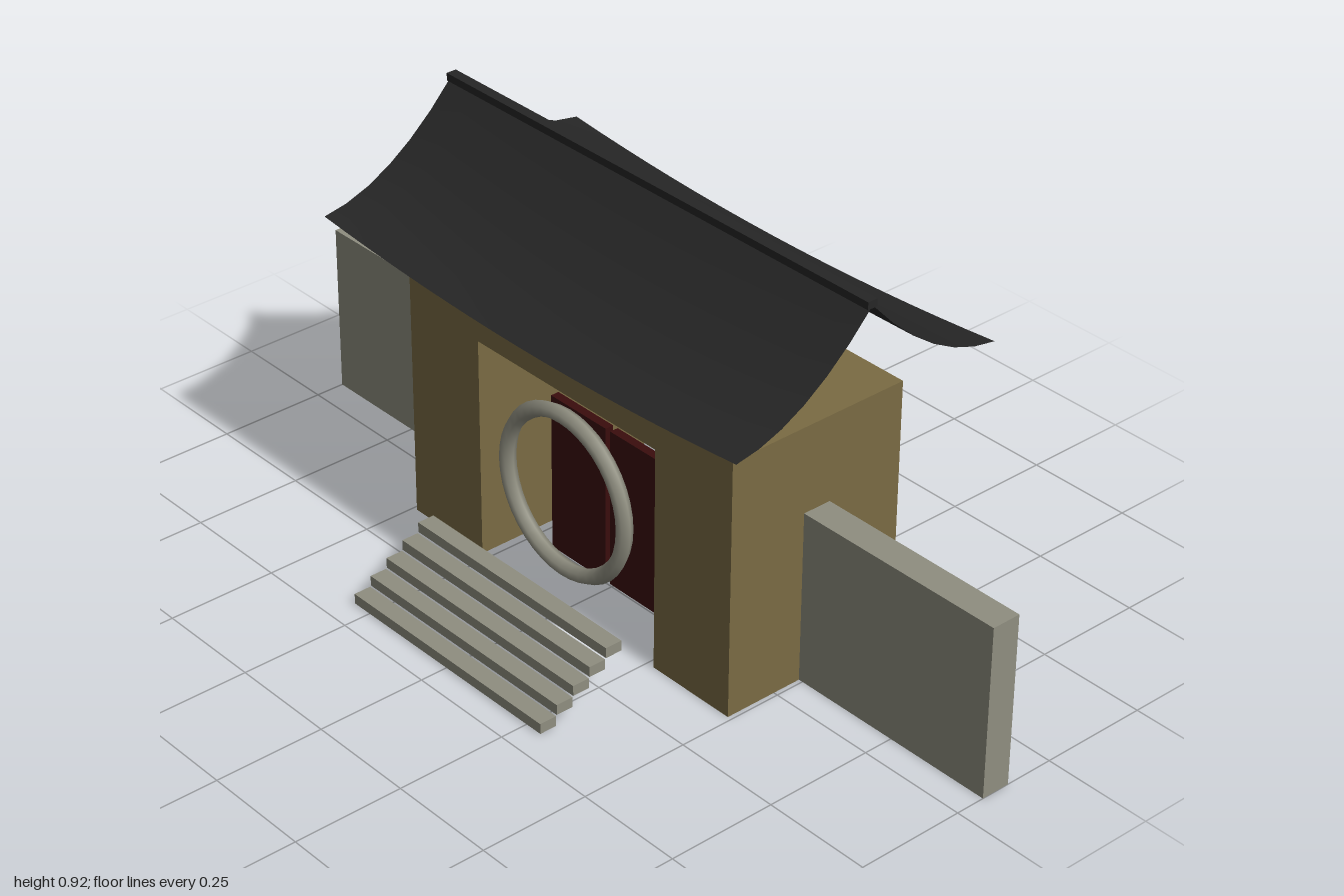
import * as THREE from 'three';

export function createModel() {
  const model = new THREE.Group();
  model.name = 'gateHouse';

  const mat = (name, color, side = THREE.FrontSide) => {
    const m = new THREE.MeshStandardMaterial({ color, side });
    m.name = name;
    return m;
  };
  const earth = mat('ochre wall', 0x7a6b43);
  const stone = mat('grey stone', 0x8f8e80);
  const tile = mat('charcoal tile', 0x262626, THREE.DoubleSide);
  const lacquer = mat('dark red lacquer', 0x3a0d0d);

  const add = (name, geometry, material) => {
    const mesh = new THREE.Mesh(geometry, material);
    mesh.name = name;
    model.add(mesh);
    return mesh;
  };
  // Box given by its lower and upper limits on each axis
  const box = (name, material, [x0, x1], [y0, y1], [z0, z1]) => {
    const mesh = add(name, new THREE.BoxGeometry(x1 - x0, y1 - y0, z1 - z0), material);
    mesh.position.set((x0 + x1) / 2, (y0 + y1) / 2, (z0 + z1) / 2);
    return mesh;
  };
  // The same box on the left (+x) and right (-x)
  const pair = (name, material, [x0, x1], y, z) => {
    box(name + 'Left', material, [x0, x1], y, z);
    box(name + 'Right', material, [-x1, -x0], y, z);
  };

  // Gate body
  const depth = [-0.325, 0.123];
  pair('pillar', earth, [0.27, 0.49], [0, 0.593], depth);
  box('lintel', earth, [-0.27, 0.27], [0.515, 0.648], depth);
  pair('sideWall', stone, [0.49, 1], [0, 0.395], [-0.136, -0.068]);

  // Door leaves with a narrow gap
  pair('door', lacquer, [0.007, 0.177], [0.015, 0.385], [-0.01, 0.01]);

  // Moon gate ring
  const ring = add('moonRing', new THREE.TorusGeometry(0.181, 0.018, 6, 40), stone);
  ring.position.set(0, 0.283, 0.123);

  // Floating steps
  for (let i = 0; i < 5; i++) {
    const y = 0.003 + i * 0.0255, z = 0.399 - i * 0.0422;
    box('step' + (i + 1), stone, [-0.295, 0.295], [y, y + 0.0235], [z, z + 0.04]);
  }

  // Front beam and ridge
  box('frontBeam', tile, [-0.478, 0.478], [0.637, 0.69], [0.111, 0.152]);
  box('ridge', tile, [-0.62, 0.62], [0.899, 0.916], [-0.113, -0.089]);

  // Roof slopes: concave sheets whose eaves lift toward the ends
  const slope = new THREE.PlaneGeometry(1.24, 1, 16, 6);
  const p = slope.attributes.position;
  for (let i = 0; i < p.count; i++) {
    const t = 0.5 - p.getY(i), e = p.getX(i) / 0.62;
    p.setY(i, 0.905 - 0.385 * t + 0.146 * t * t + 0.031 * t * t * e * e);
    p.setZ(i, 0.337 * t);
  }
  slope.computeVertexNormals();
  ['roofFront', 'roofBack'].forEach((name, i) => {
    const roof = add(name, slope, tile);
    roof.position.z = -0.101;
    roof.rotation.y = i * Math.PI;
  });

  return model;
}
